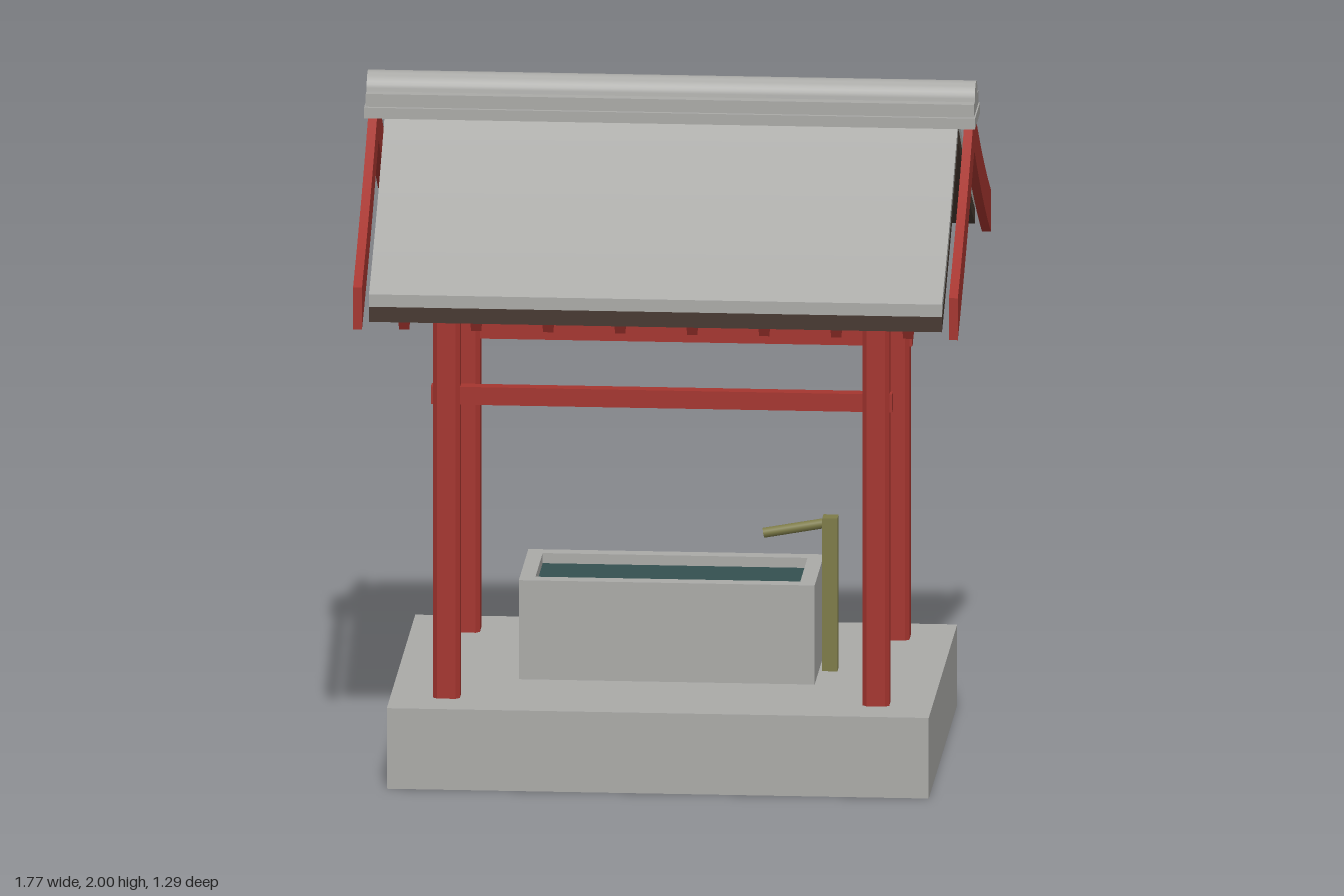
import * as THREE from 'three';
import { toCreasedNormals } from 'three/addons/utils/BufferGeometryUtils.js';

const material = (name, color, extra = {}) => {
  const m = new THREE.MeshStandardMaterial({ color, ...extra });
  m.name = name;
  return m;
};

export function createModel() {
  const group = new THREE.Group();
  group.name = 'waterPavilion';

  const stone = material('stoneGrey', 0xaaaaa7);
  stone.side = THREE.DoubleSide;
  const red = material('vermilionRed', 0xa5352f);
  const brown = material('darkBrown', 0x463830);
  const water = material('waterTeal', 0x345050);
  const bamboo = material('bambooGreen', 0x7d7b48);

  const add = (name, geometry, mat, x = 0, y = 0, z = 0) => {
    const mesh = new THREE.Mesh(geometry, mat);
    mesh.name = name;
    mesh.position.set(x, y, z);
    group.add(mesh);
    return mesh;
  };
  // Box given by its ranges on each axis
  const box = (name, mat, [x0, x1], [y0, y1], [z0, z1]) =>
    add(name, new THREE.BoxGeometry(x1 - x0, y1 - y0, z1 - z0), mat,
      (x0 + x1) / 2, (y0 + y1) / 2, (z0 + z1) / 2);
  // Symmetric (z, y) profile extruded along x, centred on cx
  const alongX = (name, mat, points, width, cx = 0) => {
    const shape = new THREE.Shape(points.map(([z, y]) => new THREE.Vector2(z, y)));
    const geo = new THREE.ExtrudeGeometry(shape, { depth: width, bevelEnabled: false });
    geo.translate(0, 0, -width / 2).rotateY(Math.PI / 2);
    return add(name, toCreasedNormals(geo, 0.5), mat, cx);
  };

  // Plinth, hollow and open underneath
  const plinth = new THREE.BoxGeometry(1.57, 0.24, 1.11);
  const index = Array.from(plinth.index.array);
  index.splice(18, 6);
  plinth.setIndex(index);
  plinth.clearGroups();
  add('plinth', plinth, stone, 0, 0.12, 0);

  // Basin with a rim, and water inside
  const rim = new THREE.Shape([[-0.43, -0.185], [0.427, -0.185], [0.427, 0.185], [-0.43, 0.185]]
    .map(p => new THREE.Vector2(...p)));
  rim.holes.push(new THREE.Path([[-0.385, -0.14], [-0.385, 0.14], [0.382, 0.14], [0.382, -0.14]]
    .map(p => new THREE.Vector2(...p))));
  add('basin', new THREE.ExtrudeGeometry(rim, { depth: 0.295, bevelEnabled: false })
    .rotateX(-Math.PI / 2), stone, 0, 0.24, 0);
  box('water', water, [-0.39, 0.387], [0.495, 0.505], [-0.145, 0.145]);

  // Bamboo upright and spout
  box('spoutPost', bamboo, [0.437, 0.481], [0.24, 0.695], [-0.025, 0.025]);
  const spout = add('spout', new THREE.CylinderGeometry(0.015, 0.015, 0.192, 12), bamboo, 0.36, 0.66, 0);
  spout.rotation.z = Math.PI / 2 + 0.18;

  // Chamfered posts
  const h = 0.0385, c = 0.027;
  const postShape = new THREE.Shape([[h, -c], [h, c], [c, h], [-c, h], [-h, c], [-h, -c], [-c, -h], [c, -h]]
    .map(p => new THREE.Vector2(...p)));
  const postGeo = new THREE.ExtrudeGeometry(postShape, { depth: 1.2, bevelEnabled: false })
    .rotateX(-Math.PI / 2);
  for (const sx of [-1, 1])
    for (const sz of [-1, 1]) add('post', postGeo, red, sx * 0.622, 0.24, sz * 0.392);

  // Rails and top beams
  for (const s of [-1, 1]) {
    const z = s * 0.392, x = s * 0.622;
    box('rail', red, [-0.668, 0.668], [1.112, 1.165], [z - 0.02, z + 0.02]);
    box('longBeam', red, [-0.692, 0.692], [1.395, 1.503], [z - 0.036, z + 0.036]);
    box('crossBeam', red, [x - 0.038, x + 0.038], [1.39, 1.506], [-0.462, 0.462]);
  }

  // Short rafters under each eave
  const rafterGeo = new THREE.BoxGeometry(0.03, 0.045, 0.395);
  for (const s of [-1, 1])
    for (let i = 0; i < 8; i++) {
      const r = add('rafter', rafterGeo, red, -0.73 + i * 0.2086, 1.501, s * 0.4585);
      r.rotation.x = s * 0.51;
    }

  // Sagging roof layers that share one curve
  const curve = z => 1.917 - 0.74 * Math.abs(z) + 0.18 * z * z;
  const layer = (top, bottom) => {
    const upper = [], lower = [], n = 20, reach = 0.645;
    for (let i = 0; i <= n; i++) {
      const z = reach * (1 - 2 * i / n);
      upper.push([z, curve(z) - top]);
      lower.unshift([z, curve(z) - bottom]);
    }
    return [...upper, ...lower];
  };
  alongX('roofCovering', stone, layer(0.02, 0.057), 1.66);
  alongX('roofUnderside', brown, layer(0.057, 0.102), 1.66);
  for (const s of [-1, 1]) alongX('gableBoard', red, layer(0, 0.125), 0.026, s * 0.863);

  // Stepped ridge with a rounded top
  const ridgeBox = (name, y0, y1, z, x) => box(name, stone, [-x, x], [y0, y1], [-z, z]);
  ridgeBox('ridgeBase', 1.88, 1.912, 0.097, 0.885);
  ridgeBox('ridgeStep', 1.912, 1.95, 0.085, 0.881);
  const dome = [];
  for (let i = 0; i <= 16; i++) {
    const a = Math.PI * i / 16;
    dome.push([0.053 * Math.cos(a), 1.95 + 0.05 * Math.sin(a)]);
  }
  alongX('ridgeCap', stone, dome, 1.762);

  return group;
}
